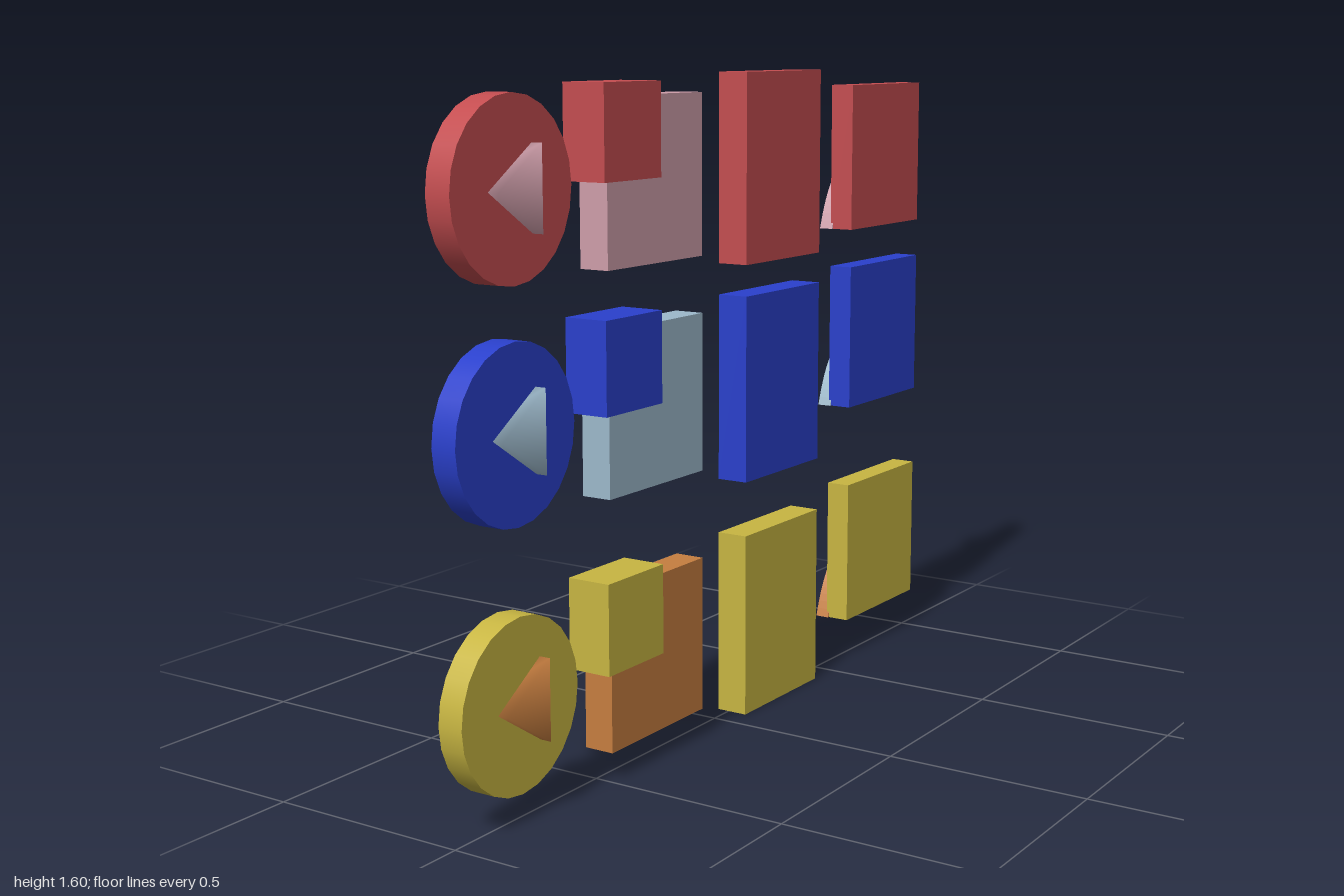
import * as THREE from 'three';
import { mergeVertices } from 'three/addons/utils/BufferGeometryUtils.js';

const mat = (color) => new THREE.MeshStandardMaterial({ color });

function add(group, name, geometry, material) {
  const mesh = new THREE.Mesh(geometry, material);
  mesh.name = name;
  group.add(mesh);
  return mesh;
}

// Box given by its extents on each axis
function slab(group, name, material, [x0, x1], [y0, y1], [z0, z1]) {
  const g = new THREE.BoxGeometry(x1 - x0, y1 - y0, z1 - z0);
  g.translate((x0 + x1) / 2, (y0 + y1) / 2, (z0 + z1) / 2);
  return add(group, name, g, material);
}

// Extrude a (z, y) outline from x = front towards x = back (-x)
function extrudeZY(shape, front, back) {
  const g = new THREE.ExtrudeGeometry(shape, { depth: front - back, bevelEnabled: false, curveSegments: 12 });
  return g.rotateY(-Math.PI / 2).translate(front, 0, 0);
}

// Rounded bar lying along z
function bar(group, name, material, x, y, z0, z1, r = 0.011) {
  const g = new THREE.CapsuleGeometry(r, z1 - z0 - 2 * r, 4, 10);
  g.rotateX(Math.PI / 2).translate(x, y, (z0 + z1) / 2);
  return add(group, name, g, material);
}

// Disc with a triangle passing through it
function playButton(main, accent, y) {
  const group = new THREE.Group();
  group.name = 'playButton';
  const disc = new THREE.CylinderGeometry(0.2, 0.2, 0.063, 24);
  disc.rotateX(Math.PI / 2).rotateY(Math.PI / 2).translate(-0.006, y, 0.8);
  add(group, 'disc', disc, main);

  const shape = new THREE.Shape([
    new THREE.Vector2(0.88, y), new THREE.Vector2(0.735, y + 0.095), new THREE.Vector2(0.735, y - 0.095),
  ]);
  let tri = extrudeZY(shape, 0.053, -0.067);
  tri.deleteAttribute('normal');
  tri.deleteAttribute('uv');
  tri = mergeVertices(tri);
  tri.computeVertexNormals();
  add(group, 'triangle', tri, accent);
  return group;
}

// Page with lines and a smaller overlapping badge
function badgedPage(main, accent, y) {
  const group = new THREE.Group();
  group.name = 'badgedPage';
  slab(group, 'page', accent, [-0.028, 0.047], [y, y + 0.38], [0.125, 0.5]);
  slab(group, 'badge', main, [-0.045, 0.066], [y + 0.195, y + 0.41], [0.32, 0.535]);
  slab(group, 'badgePlaque', accent, [-0.067, -0.04], [y + 0.23, y + 0.37], [0.385, 0.47]);
  bar(group, 'shortLine', main, -0.031, y + 0.235, 0.165, 0.28);
  for (let i = 0; i < 3; i++) bar(group, 'longLine', main, -0.031, y + 0.065 + i * 0.055, 0.165, 0.45);
  return group;
}

// Tall page with six lines
function textPage(main, accent, y) {
  const group = new THREE.Group();
  group.name = 'textPage';
  slab(group, 'page', main, [-0.03, 0.05], [y, y + 0.463], [-0.415, -0.065]);
  for (let i = 0; i < 6; i++) bar(group, 'line', accent, -0.032, y + 0.07 + i * 0.056, -0.37, -0.11);
  return group;
}

// Panel with raised hills and a sun
function picture(main, accent, y) {
  const group = new THREE.Group();
  group.name = 'picture';
  slab(group, 'panel', main, [-0.037, 0.026], [y, y + 0.38], [-1, -0.625]);

  const hills = new THREE.Shape();
  hills.moveTo(-0.995, y);
  hills.quadraticCurveTo(-0.95, y + 0.22, -0.88, y + 0.26);
  hills.quadraticCurveTo(-0.82, y + 0.22, -0.785, y + 0.1);
  hills.quadraticCurveTo(-0.76, y + 0.16, -0.725, y + 0.16);
  hills.quadraticCurveTo(-0.66, y + 0.13, -0.62, y);
  add(group, 'hills', extrudeZY(hills, -0.03, -0.067), accent);

  const sun = new THREE.CylinderGeometry(0.042, 0.042, 0.04, 20);
  sun.rotateZ(Math.PI / 2).translate(-0.047, y + 0.305, -0.755);
  add(group, 'sun', sun, accent);
  return group;
}

export function createModel() {
  const model = new THREE.Group();
  model.name = 'iconSet';

  // Colours and heights of each icon, row by row
  const rows = [
    { name: 'redRow', main: 0xc44d50, accent: 0xcf9eaa, play: 1.375, badged: 1.18, text: 1.14, pic: 1.18 },
    { name: 'blueRow', main: 0x2a40cc, accent: 0x9db9cb, play: 0.86, badged: 0.665, text: 0.6, pic: 0.7 },
    { name: 'yellowRow', main: 0xc8b642, accent: 0xc67e40, play: 0.265, badged: 0.07, text: 0, pic: 0.105 },
  ];
  for (const r of rows) {
    const row = new THREE.Group();
    row.name = r.name;
    const main = mat(r.main), accent = mat(r.accent);
    row.add(
      playButton(main, accent, r.play),
      badgedPage(main, accent, r.badged),
      textPage(main, accent, r.text),
      picture(main, accent, r.pic),
    );
    model.add(row);
  }
  return model;
}
